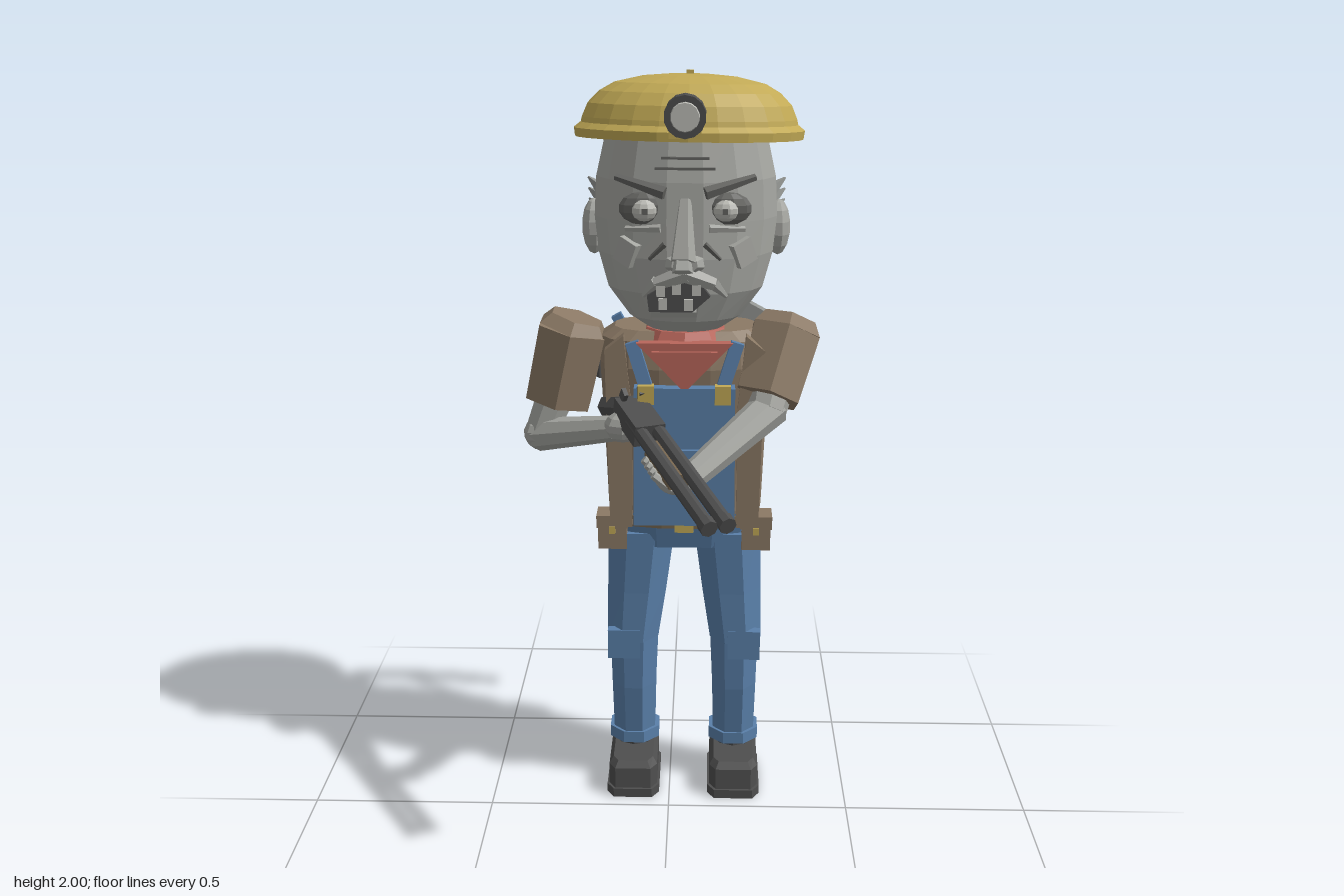
import * as THREE from 'three';

const mat = (name, color, side = THREE.FrontSide) => {
  const m = new THREE.MeshStandardMaterial({ color, side });
  m.name = name;
  return m;
};

export function createModel() {
  const root = new THREE.Group();
  const skin = mat('skin', 0xa6a7a2), pale = mat('pale', 0xbcbcb6), dark = mat('charcoal', 0x4e4e4e);
  const yellow = mat('helmetYellow', 0xc2aa56, THREE.DoubleSide), brown = mat('vestBrown', 0x8b7965);
  const blue = mat('denim', 0x5a80aa), red = mat('scarfRed', 0xb9665b), wood = mat('wood', 0x77664e);
  const steel = mat('steel', 0x939592), shade = mat('darkSkin', 0x646461);
  const V = (a) => new THREE.Vector3(...a);

  // Flat-shaded mesh
  const add = (name, geo, m, parent = root) => {
    const g = geo.index ? geo.toNonIndexed() : geo;
    g.computeVertexNormals();
    const mesh = new THREE.Mesh(g, m);
    mesh.name = name;
    parent.add(mesh);
    return mesh;
  };
  const box = (name, m, p, s, rot = [0, 0, 0], parent = root) => {
    const b = add(name, new THREE.BoxGeometry(...s), m, parent);
    b.position.set(...p);
    b.rotation.set(...rot);
    return b;
  };
  // Tapered prism from a to b
  const limb = (name, m, a, b, r1, r2 = r1, n = 8, parent = root) => {
    const A = V(a), B = V(b), d = B.clone().sub(A);
    const c = add(name, new THREE.CylinderGeometry(r2, r1, d.length(), n), m, parent);
    c.position.copy(A).add(B).multiplyScalar(0.5);
    c.quaternion.setFromUnitVectors(new THREE.Vector3(0, 1, 0), d.normalize());
    return c;
  };
  const ball = (name, m, p, s, n = 10, parent = root) => {
    const b = add(name, new THREE.SphereGeometry(1, n, 7), m, parent);
    b.position.set(...p);
    b.scale.set(...s);
    return b;
  };
  // Stacked cross-sections, each [y, centre x, half width, front z, back z]
  const loft = (name, m, rings, n = 8, pw = 1) => {
    const pos = [], idx = [], k = pw === 1 ? 1 / Math.cos(Math.PI / n) : 1;
    const bend = (v) => Math.sign(v) * Math.abs(v) ** pw;
    for (const [y, cx, rx, zf, zb] of rings) for (let j = 0; j < n; j++) {
      const t = (j + 0.5) / n * Math.PI * 2;
      pos.push(cx + rx * k * bend(Math.cos(t)), y, (zf + zb) / 2 + (zf - zb) / 2 * k * bend(Math.sin(t)));
    }
    const last = (rings.length - 1) * n, c = rings.length * n;
    for (const r of [rings[0], rings.at(-1)]) pos.push(r[1], r[0], (r[3] + r[4]) / 2);
    for (let j = 0; j < n; j++) {
      const q = (j + 1) % n;
      for (let i = 0; i < last; i += n) idx.push(i + j, i + n + j, i + q, i + q, i + n + j, i + n + q);
      idx.push(c, j, q, c + 1, last + q, last + j);
    }
    const g = new THREE.BufferGeometry();
    g.setAttribute('position', new THREE.Float32BufferAttribute(pos, 3));
    g.setIndex(idx);
    return add(name, g, m);
  };
  // Flat outline given in x,y and pushed out along z
  const plate = (name, m, pts, z, depth, parent = root) => {
    const s = new THREE.Shape(pts.map((p) => new THREE.Vector2(...p)));
    const p = add(name, new THREE.ExtrudeGeometry(s, { depth, bevelEnabled: false }), m, parent);
    p.position.z = z;
    return p;
  };
  const CX = 0.04;

  // Legs, cuffs and boots
  for (const s of [-1, 1]) {
    const x = CX + s * 0.143;
    loft('upperLeg', blue, [[0.45, CX + s * 0.145, 0.072, -0.115, -0.295], [0.6, CX + s * 0.132, 0.082, -0.115, -0.31],
      [0.78, CX + s * 0.118, 0.092, -0.11, -0.335]]);
    loft('lowerLeg', blue, [[0.12, x, 0.058, -0.155, -0.275], [0.3, x, 0.062, -0.13, -0.285], [0.48, x - s * 0.002, 0.068, -0.12, -0.285]]);
    box('kneePatch', blue, [x + s * 0.025, 0.445, -0.128], [0.09, 0.085, 0.03]);
    loft('cuff', blue, [[0.118, x, 0.07, -0.145, -0.285], [0.152, x, 0.07, -0.145, -0.285]]);
    limb('ankle', dark, [x, 0.09, -0.215], [x, 0.13, -0.215], 0.055);
    loft('boot', dark, [[0.025, x, 0.07, -0.045, -0.28], [0.085, x, 0.07, -0.05, -0.28], [0.103, x, 0.058, -0.065, -0.27]], 8, 0.35);
    loft('sole', dark, [[0, x, 0.076, -0.038, -0.286], [0.026, x, 0.076, -0.038, -0.286]], 8, 0.35);
  }
  loft('hips', blue, [[0.74, CX, 0.19, -0.11, -0.335], [0.84, CX, 0.205, -0.09, -0.34]], 12, 0.7);

  // Torso: vest, bib, straps and scarf
  loft('vest', brown, [[0.8, CX, 0.205, -0.1, -0.345], [0.85, CX, 0.212, -0.09, -0.352], [1.05, CX, 0.22, -0.085, -0.367],
    [1.25, CX, 0.23, -0.075, -0.35], [1.32, CX, 0.225, -0.09, -0.335], [1.345, CX, 0.19, -0.11, -0.31]], 16, 0.75);
  plate('bib', blue, [[-0.095, 0.83], [0.175, 0.83], [0.172, 1.21], [-0.092, 1.21]], -0.09, 0.045);
  box('bibPocket', blue, [CX, 0.98, -0.04], [0.15, 0.13, 0.018]);
  loft('belt', wood, [[0.805, CX, 0.21, -0.085, -0.352], [0.835, CX, 0.21, -0.085, -0.352]], 16, 0.75);
  box('beltBuckle', yellow, [CX, 0.82, -0.08], [0.05, 0.04, 0.02]);
  for (const s of [-1, 1]) {
    box('strap', blue, [CX + s * 0.118, 1.265, -0.068], [0.035, 0.13, 0.03], [-0.1, 0, -s * 0.3]);
    box('strapBuckle', yellow, [CX + s * 0.1, 1.195, -0.045], [0.042, 0.05, 0.03]);
    plate('vestPanel', brown, [[0.14, 0.81], [0.2, 0.81], [0.21, 1.3], [0.16, 1.34], [0.14, 1.15]]
      .map(([x, y]) => [CX + s * x, y]), -0.125, 0.04);
    box('pouch', brown, [CX + s * 0.195, 0.785, -0.125], [0.078, 0.085, 0.065]);
    box('pouchFlap', brown, [CX + s * 0.195, 0.822, -0.124], [0.086, 0.035, 0.074]);
    box('pouchClasp', yellow, [CX + s * 0.195, 0.8, -0.086], [0.016, 0.02, 0.008]);
  }
  limb('neck', skin, [CX, 1.3, -0.18], [CX, 1.4, -0.18], 0.08);
  loft('scarfBand', red, [[1.325, CX, 0.115, -0.07, -0.28], [1.35, CX, 0.1, -0.085, -0.27]], 10);
  plate('scarf', red, [[-0.085, 1.33], [CX, 1.2], [0.165, 1.33]], -0.08, 0.035);
  plate('scarfFold', red, [[-0.045, 1.31], [CX, 1.235], [0.125, 1.31]], -0.045, 0.012);

  // Torn holes and slits on the back of the vest
  for (const [x, y, z, h, r] of [[-0.1, 0.91, -0.36, 0.12, 0.4], [0.1, 0.88, -0.36, 0.12, -0.4], [-0.12, 1.26, -0.345, 0.07, -0.5],
    [0.05, 1.32, -0.33, 0.05, -0.7], [-0.14, 1.335, -0.28, 0.04, 0.5]])
    box('tear', blue, [x, y, z], [0.028, h, 0.025], [0, 0, r]);
  for (const x of [-0.16, 0.24]) box('slit', wood, [x, 0.88, -0.31], [0.022, 0.13, 0.05]);
  box('shoulderPatch', dark, [-0.195, 1.22, -0.29], [0.035, 0.08, 0.06], [0, 0.5, 0]);

  // Head
  loft('head', skin, [[1.345, CX, 0.09, -0.1, -0.25], [1.385, CX, 0.145, -0.055, -0.28], [1.46, CX, 0.2, -0.03, -0.322],
    [1.55, CX, 0.225, -0.025, -0.35], [1.64, CX, 0.235, -0.03, -0.365], [1.74, CX, 0.23, -0.035, -0.365],
    [1.85, CX, 0.205, -0.055, -0.35], [1.93, CX, 0.14, -0.1, -0.31]], 16);
  for (const s of [-1, 1]) {
    ball('ear', skin, [CX + s * 0.24, 1.605, -0.21], [0.032, 0.073, 0.05]);
    for (let i = 0; i < 3; i++)
      limb('hairTuft', steel, [CX + s * 0.215, 1.64 + i * 0.025, -0.25], [CX + s * 0.26, 1.66 + i * 0.03, -0.32 + i * 0.012], 0.022, 0.003, 4);
    ball('eyeSocket', shade, [CX + s * 0.105, 1.675, -0.055], [0.062, 0.042, 0.024]);
    ball('eye', pale, [CX + s * 0.102, 1.672, -0.042], [0.034, 0.028, 0.024]);
    box('pupil', shade, [CX + s * 0.1, 1.672, -0.018], [0.014, 0.014, 0.006]);
    limb('eyebrow', shade, [CX + s * 0.05, 1.715, -0.03], [CX + s * 0.175, 1.75, -0.075], 0.017, 0.009, 5);
    limb('eyeBag', skin, [CX + s * 0.06, 1.628, -0.035], [CX + s * 0.15, 1.622, -0.065], 0.012, 0.008, 5);
    limb('noseFold', shade, [CX + s * 0.05, 1.59, -0.026], [CX + s * 0.09, 1.55, -0.036], 0.008, 0.005, 4);
    const cheek = box('cheek', skin, [CX + s * 0.145, 1.565, -0.06], [0.055, 0.06, 0.03], [0, s * 0.6, s * 0.4]);
    cheek.scale.y = 1.05;
    limb('moustache', skin, [CX - s * 0.005, 1.52, -0.012], [CX + s * 0.075, 1.49, -0.022], 0.026, 0.018, 6);
    limb('moustacheTip', skin, [CX + s * 0.07, 1.495, -0.02], [CX + s * 0.105, 1.455, -0.045], 0.018, 0.006, 6);
    limb('nostril', skin, [CX + s * 0.028, 1.54, -0.025], [CX + s * 0.02, 1.545, 0.015], 0.024, 0.014, 6);
  }
  limb('noseBridge', skin, [CX, 1.7, -0.035], [CX - 0.005, 1.555, 0.02], 0.016, 0.034, 5);
  limb('noseTip', skin, [CX - 0.005, 1.575, 0.01], [CX - 0.005, 1.53, 0.03], 0.02, 0.028, 5);
  for (let i = 0; i < 2; i++) box('wrinkle', shade, [CX, 1.775 + i * 0.025, -0.038 - i * 0.004], [0.15 - i * 0.03, 0.006, 0.012]);

  // Mouth, lip and teeth
  plate('mouth', dark, [[-0.05, 1.42], [0.06, 1.42], [0.105, 1.46], [0.075, 1.5], [0.0, 1.5], [-0.055, 1.46]], -0.035, 0.024);
  limb('lowerLip', skin, [-0.045, 1.42, -0.03], [0.07, 1.42, -0.03], 0.018, 0.018, 6);
  for (const [x, y] of [[-0.02, 1.475], [0.02, 1.48], [0.07, 1.478], [-0.015, 1.442], [0.05, 1.44]])
    box('tooth', pale, [x, y, -0.008], [0.022, 0.028, 0.012]);

  // Helmet with lamp
  const helmet = new THREE.Group();
  helmet.name = 'helmet';
  helmet.position.set(0.047, 1.845, -0.225);
  helmet.rotation.set(-0.05, 0, -0.015);
  root.add(helmet);
  const profile = [[0.9, 0.012], [0.99, -0.014], [1, 0.008], [0.94, 0.022], [0.93, 0.035], [0.88, 0.07], [0.78, 0.1], [0.65, 0.122],
    [0.4, 0.139], [0.15, 0.145], [0, 0.146]];
  const shell = add('helmetShell', new THREE.LatheGeometry(profile.map((p) => new THREE.Vector2(...p)), 24), yellow, helmet);
  shell.scale.set(0.297, 1, 0.217);
  box('helmetCrest', yellow, [0, 0.146, 0], [0.018, 0.016, 0.045], [0, 0, 0], helmet);
  box('lampBase', yellow, [CX, 1.875, -0.035], [0.08, 0.05, 0.05]);
  limb('lampBody', dark, [CX, 1.905, -0.04], [CX, 1.905, 0.025], 0.052, 0.052, 14);
  limb('lampLens', pale, [CX, 1.905, 0.02], [CX, 1.905, 0.031], 0.038, 0.034, 14);

  // Arms
  limb('rightSleeve', brown, [-0.305, 1.13, -0.21], [-0.26, 1.33, -0.21], 0.098, 0.102, 6);
  limb('rightShoulderCap', brown, [-0.26, 1.33, -0.21], [-0.25, 1.362, -0.21], 0.102, 0.075, 6);
  limb('rightUpperArm', skin, [-0.31, 1.15, -0.21], [-0.358, 1.03, -0.2], 0.055, 0.046);
  ball('rightElbow', skin, [-0.355, 1.04, -0.195], [0.046, 0.046, 0.046], 8);
  limb('rightForearm', skin, [-0.36, 1.035, -0.2], [-0.14, 1.1, -0.05], 0.046, 0.034);
  ball('rightHand', skin, [-0.12, 1.11, -0.035], [0.05, 0.042, 0.045], 8);
  limb('leftSleeve', brown, [0.255, 1.17, -0.105], [0.305, 1.325, -0.19], 0.094, 0.102, 6);
  limb('leftShoulderCap', brown, [0.305, 1.325, -0.19], [0.315, 1.358, -0.208], 0.102, 0.078, 6);
  limb('leftUpperArm', skin, [0.27, 1.2, -0.12], [0.255, 1.14, -0.08], 0.06, 0.052);
  limb('leftForearm', skin, [0.27, 1.15, -0.095], [0.06, 1.02, 0.105], 0.052, 0.036);
  ball('leftHand', skin, [0.025, 1.02, 0.135], [0.055, 0.035, 0.048], 8);
  for (let i = 0; i < 4; i++)
    limb('finger', skin, [-0.01 + i * 0.008, 1.03 - i * 0.004, 0.125 + i * 0.023], [-0.06 + i * 0.009, 1.075 - i * 0.006, 0.13 + i * 0.023], 0.014, 0.011, 6);

  // Double-barrelled gun
  const gun = new THREE.Group();
  gun.name = 'gun';
  gun.position.set(-0.08, 1.15, 0);
  gun.lookAt(0.125, 1.015, 0.435);
  root.add(gun);
  for (const s of [-1, 1]) {
    limb('barrel', dark, [s * 0.024, 0, 0.02], [s * 0.024, 0, 0.505], 0.019, 0.019, 8, gun);
    limb('muzzle', dark, [s * 0.024, 0, 0.48], [s * 0.024, 0, 0.508], 0.022, 0.022, 8, gun);
    box('hammer', dark, [s * 0.022, 0.035, -0.05], [0.012, 0.03, 0.025], [0.4, 0, 0], gun);
  }
  box('receiver', dark, [0, -0.008, 0.01], [0.082, 0.058, 0.15], [0, 0, 0], gun);
  box('foreGrip', wood, [0, -0.022, 0.2], [0.05, 0.04, 0.16], [0, 0, 0], gun);
  limb('stock', dark, [0, -0.005, -0.05], [-0.03, -0.05, -0.14], 0.034, 0.028, 6, gun);
  add('triggerGuard', new THREE.TorusGeometry(0.024, 0.006, 5, 10), dark, gun).rotation.y = Math.PI / 2;
  gun.children.at(-1).position.set(0, -0.045, 0);

  // Pickaxe on the back
  limb('pickHandle', wood, [-0.1, 0.66, -0.415], [0.145, 1.36, -0.415], 0.016, 0.015, 6);
  limb('pickGrip', wood, [-0.098, 0.67, -0.418], [-0.035, 0.865, -0.418], 0.027, 0.024, 6);
  plate('pickHead', steel, [[-0.07, 1.295], [0.02, 1.32], [0.13, 1.325], [0.25, 1.285], [0.37, 1.215], [0.31, 1.31], [0.2, 1.37],
    [0.1, 1.378], [0.0, 1.355]], -0.436, 0.046);
  return root;
}
